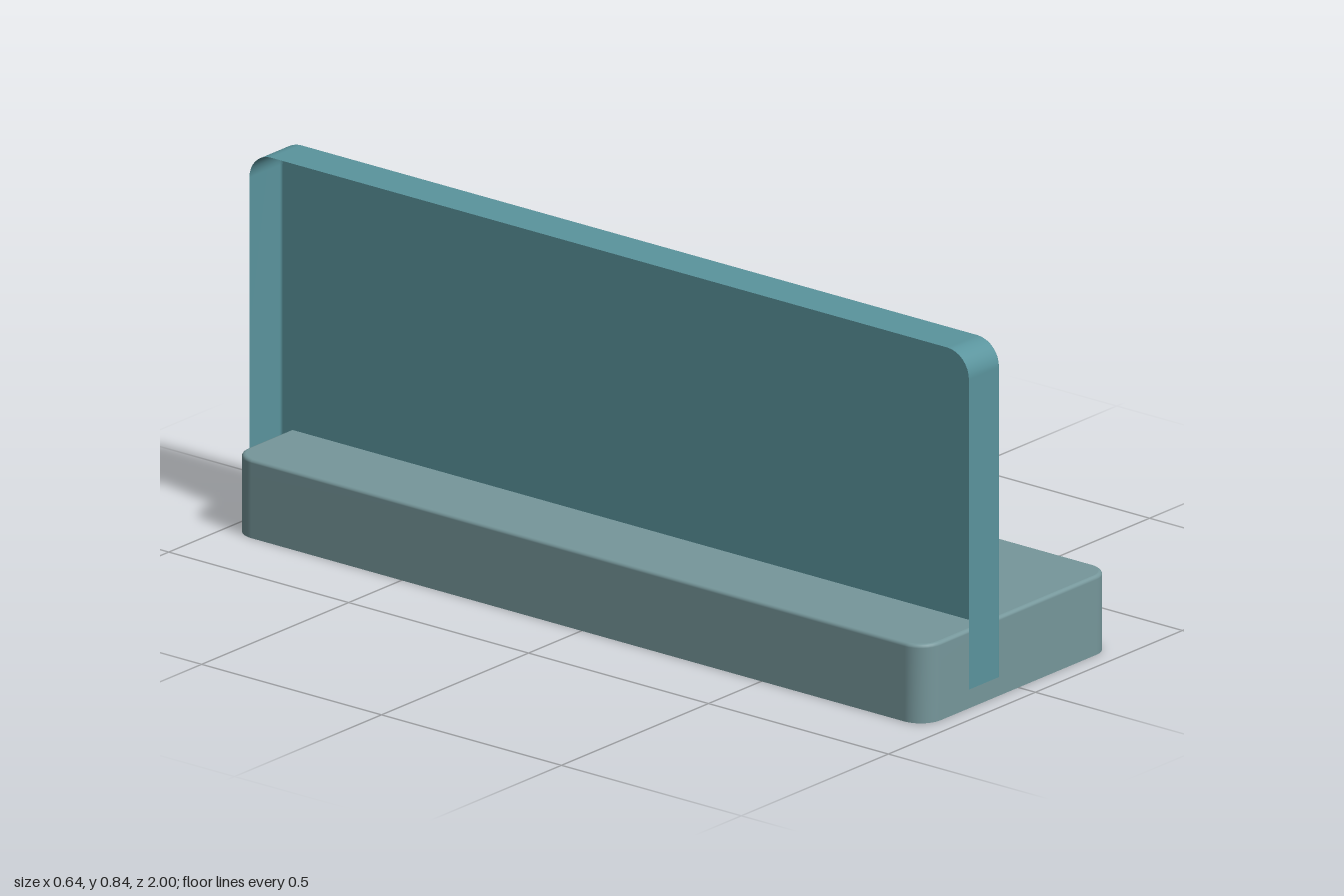
import * as THREE from 'three';

const CORNER_STEPS = 8, BEVEL_STEPS = 4;

// Rounded corner arc centred on (cx, cy), starting at angle a0 and turning a quarter
function corner(cx, cy, r, a0) {
  return Array.from({ length: CORNER_STEPS + 1 }, (_, i) => {
    const a = a0 + (i / CORNER_STEPS) * Math.PI / 2;
    return [cx + r * Math.cos(a), cy + r * Math.sin(a)];
  });
}

// Thin open shell: an outline wall rising along +z, a softened rim and a flat cap.
// outline(inset) returns the counter-clockwise points of the outline shrunk by inset.
function shell(outline, depth, bevel, closed) {
  const rings = [[0, 0]];
  for (let i = 0; i <= BEVEL_STEPS; i++) {
    const a = (i / BEVEL_STEPS) * Math.PI / 2;
    rings.push([bevel * (1 - Math.cos(a)), depth - bevel * (1 - Math.sin(a))]);
  }
  const pos = [], index = [];
  const addRing = ([inset, z]) => outline(inset).forEach(([x, y]) => pos.push(x, y, z));
  rings.forEach(addRing);
  const n = pos.length / 3 / rings.length;

  // wall and rim
  for (let k = 0; k < rings.length - 1; k++) {
    for (let i = 0; i < (closed ? n : n - 1); i++) {
      const j = (i + 1) % n, a = k * n + i, b = k * n + j;
      index.push(a, b, b + n, a, b + n, a + n);
    }
  }

  // flat cap with its own vertices, fanned from the first corner
  const start = pos.length / 3;
  addRing(rings[rings.length - 1]);
  for (let i = 1; i < n - 1; i++) index.push(start, start + i, start + i + 1);

  const geometry = new THREE.BufferGeometry();
  geometry.setAttribute('position', new THREE.Float32BufferAttribute(pos, 3));
  geometry.setIndex(index);
  geometry.computeVertexNormals();
  return geometry;
}

function part(name, geometry, color) {
  const material = new THREE.MeshStandardMaterial({ color, side: THREE.DoubleSide });
  const mesh = new THREE.Mesh(geometry, material);
  mesh.name = name;
  return mesh;
}

export function createModel() {
  const model = new THREE.Group();
  model.name = 'standingPanel';

  // base: hollow tray, open underneath, with rounded corners
  const halfW = 0.32, halfL = 0.963, baseR = 0.055;
  const baseOutline = (inset) => {
    const x = halfW - baseR, y = halfL - baseR, r = baseR - inset;
    return [[x, y], [-x, y], [-x, -y], [x, -y]]
      .flatMap(([cx, cy], q) => corner(cx, cy, r, q * Math.PI / 2));
  };
  const base = part('base', shell(baseOutline, 0.18, 0.008, true).rotateX(-Math.PI / 2), 0x76979b);
  base.position.z = -0.01;
  model.add(base);

  // panel: upright shell, open at the back face and along the bottom edge
  const bottom = 0.07, top = 0.84, panelR = 0.06;
  const panelOutline = (inset) => {
    const x = 1 - panelR, y = top - panelR, r = panelR - inset;
    return [
      [1 - inset, bottom],
      ...corner(x, y, r, 0),
      ...corner(-x, y, r, Math.PI / 2),
      [-1 + inset, bottom],
    ];
  };
  const panel = part('panel', shell(panelOutline, 0.106, 0.006, false).rotateY(Math.PI / 2), 0x5a949d);
  panel.position.x = -0.226;
  model.add(panel);

  return model;
}
